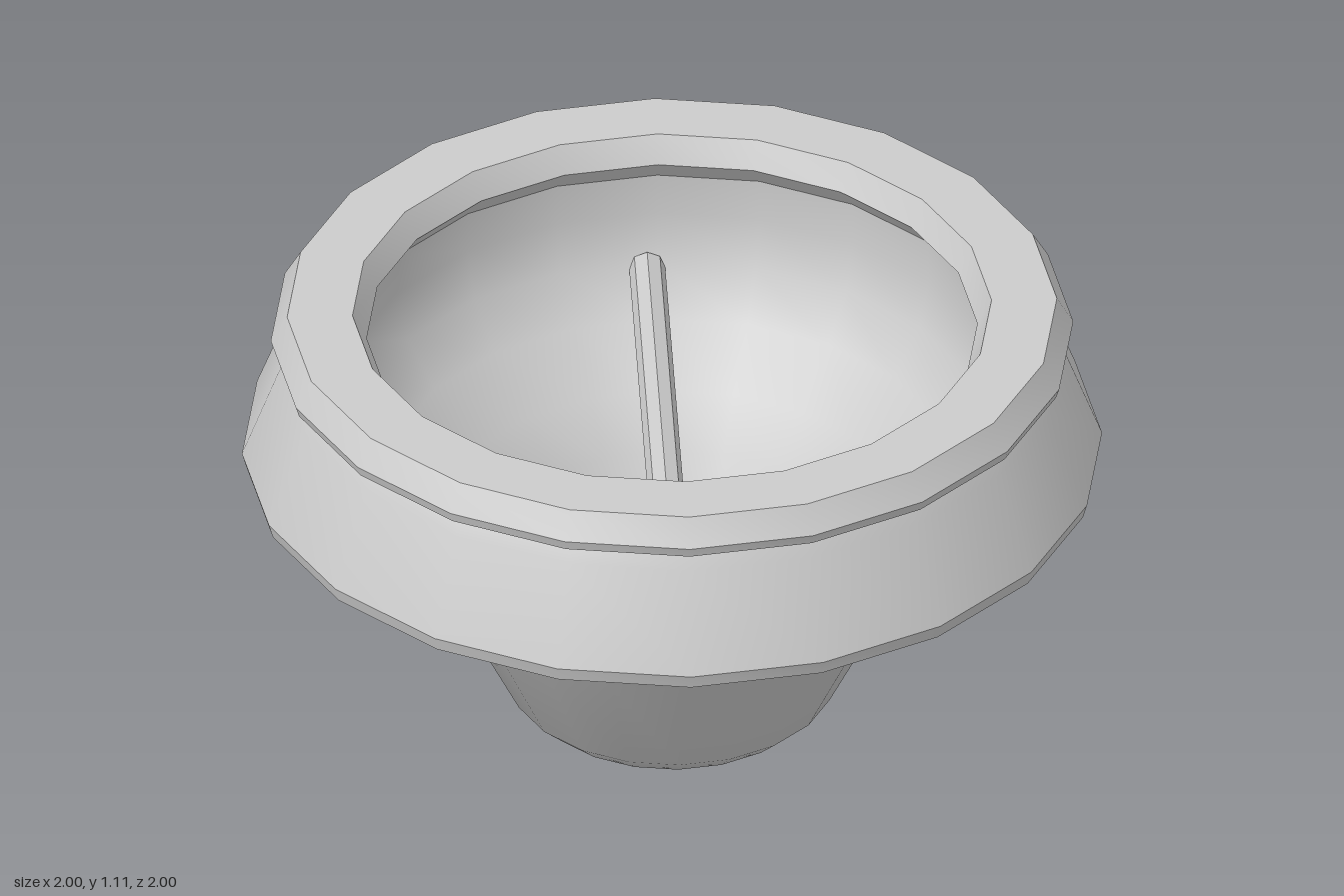
import * as THREE from 'three';
import { toCreasedNormals } from 'three/addons/utils/BufferGeometryUtils.js';

const SIDES = 20;

export function createModel() {
  const group = new THREE.Group();
  const material = new THREE.MeshStandardMaterial({ color: 0xcccccc });

  const add = (name, geometry, crease) => {
    const mesh = new THREE.Mesh(toCreasedNormals(geometry, crease), material);
    mesh.name = name;
    group.add(mesh);
    return mesh;
  };
  // Turned part; the profile runs up the outside and down the inside
  const turned = (name, profile) =>
    add(name, new THREE.LatheGeometry(profile.map(([r, y]) => new THREE.Vector2(r, y)), SIDES), 0.6);

  // Outer shell: rounded foot, flared cup and tapered collar
  turned('outerShell', [
    [0, 0], [0.18, 0.01], [0.33, 0.045], [0.38, 0.09], [0.535, 0.4],
    [0.615, 0.49], [0.99, 0.7], [1, 0.735], [0.91, 0.97], [0.893, 1.0],
  ]);

  // Rim ring with a bevelled inner lip
  turned('rim', [
    [0.893, 1.0], [0.925, 1.02], [0.933, 1.045], [0.895, 1.11],
    [0.743, 1.11], [0.71, 1.046], [0.76, 0.985],
  ]);

  // Hollow bowl with a flat floor
  turned('bowl', [
    [0.76, 0.985], [0.762, 0.88], [0.735, 0.76], [0.66, 0.65],
    [0.54, 0.53], [0.45, 0.42], [0.285, 0.1], [0, 0.1],
  ]);

  // Eight-sided rod across the bowl
  const rodGeometry = new THREE.CylinderGeometry(0.042, 0.042, 1.46, 8);
  rodGeometry.rotateX(Math.PI / 2);
  add('crossRod', rodGeometry, 0.3).position.set(-0.025, 0.75, 0);

  return group;
}
